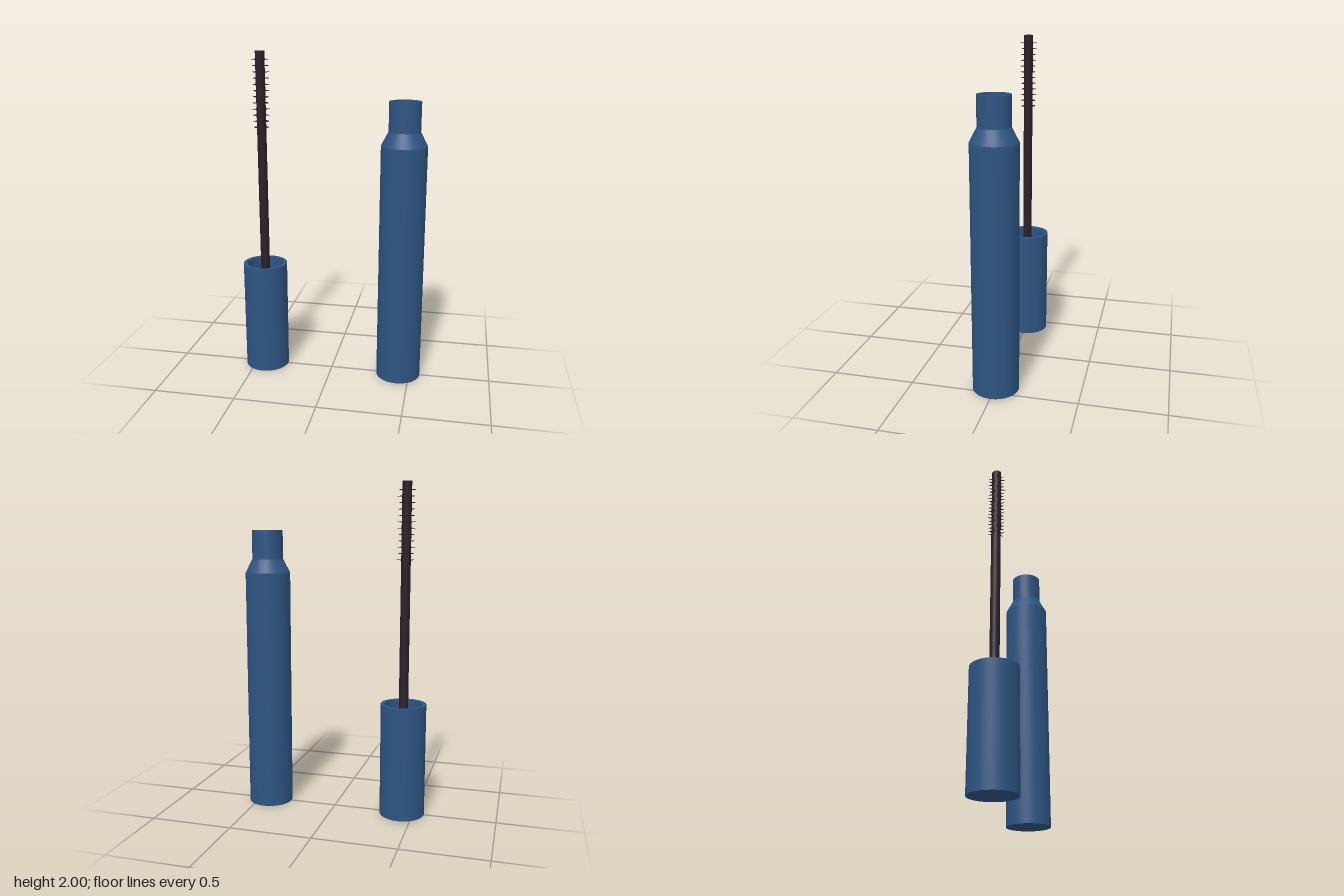
import * as THREE from 'three';
import { toCreasedNormals } from 'three/addons/utils/BufferGeometryUtils.js';

const mat = (name, color) => {
  const m = new THREE.MeshStandardMaterial({ color });
  m.name = name;
  return m;
};

export function createModel() {
  const blue = mat('navy blue plastic', 0x2d5482);
  const dark = mat('dark wand', 0x2a1f28);
  const model = new THREE.Group();
  model.name = 'mascaraSet';

  const add = (parent, name, geometry, material) => {
    const mesh = new THREE.Mesh(geometry, material);
    mesh.name = name;
    parent.add(mesh);
    return mesh;
  };
  // Closed hollow profile: underside, outer wall, rim, inner wall, floor
  const hollow = (points) => toCreasedNormals(
    new THREE.LatheGeometry(points.map(([r, y]) => new THREE.Vector2(r, y)), 64), 0.4);

  // Tube with a sloped shoulder and narrow open neck
  const tube = add(model, 'tube', hollow([
    [0, 0], [0.137, 0], [0.137, 1.467], [0.094, 1.55], [0.094, 1.725],
    [0.071, 1.725], [0.071, 1.54], [0.113, 1.46], [0.113, 0.03], [0, 0.03],
  ]), blue);
  tube.position.x = 0.43;

  // Cap standing upside down with the wand rising from it
  const applicator = new THREE.Group();
  applicator.name = 'applicator';
  applicator.position.x = -0.43;
  model.add(applicator);
  add(applicator, 'cap', hollow([
    [0, 0], [0.137, 0], [0.137, 0.692], [0.113, 0.692], [0.113, 0.03], [0, 0.03],
  ]), blue);
  const wand = add(applicator, 'wand', new THREE.CylinderGeometry(0.028, 0.028, 1.97, 32), dark);
  wand.position.y = 1.015;

  // Brush: rings of pointed bristles, every other ring turned by half a step
  const brush = new THREE.Group();
  brush.name = 'brush';
  applicator.add(brush);
  const spike = new THREE.ConeGeometry(0.0045, 0.032, 6);
  spike.rotateZ(-Math.PI / 2);
  spike.translate(0.039, 0, 0);
  const rows = 12, perRow = 8;
  for (let i = 0; i < rows; i++) {
    for (let j = 0; j < perRow; j++) {
      const bristle = add(brush, 'bristle', spike, dark);
      bristle.position.y = 1.553 + i * 0.0362;
      bristle.rotation.y = (j + (i % 2) / 2) * Math.PI * 2 / perRow;
    }
  }
  return model;
}
